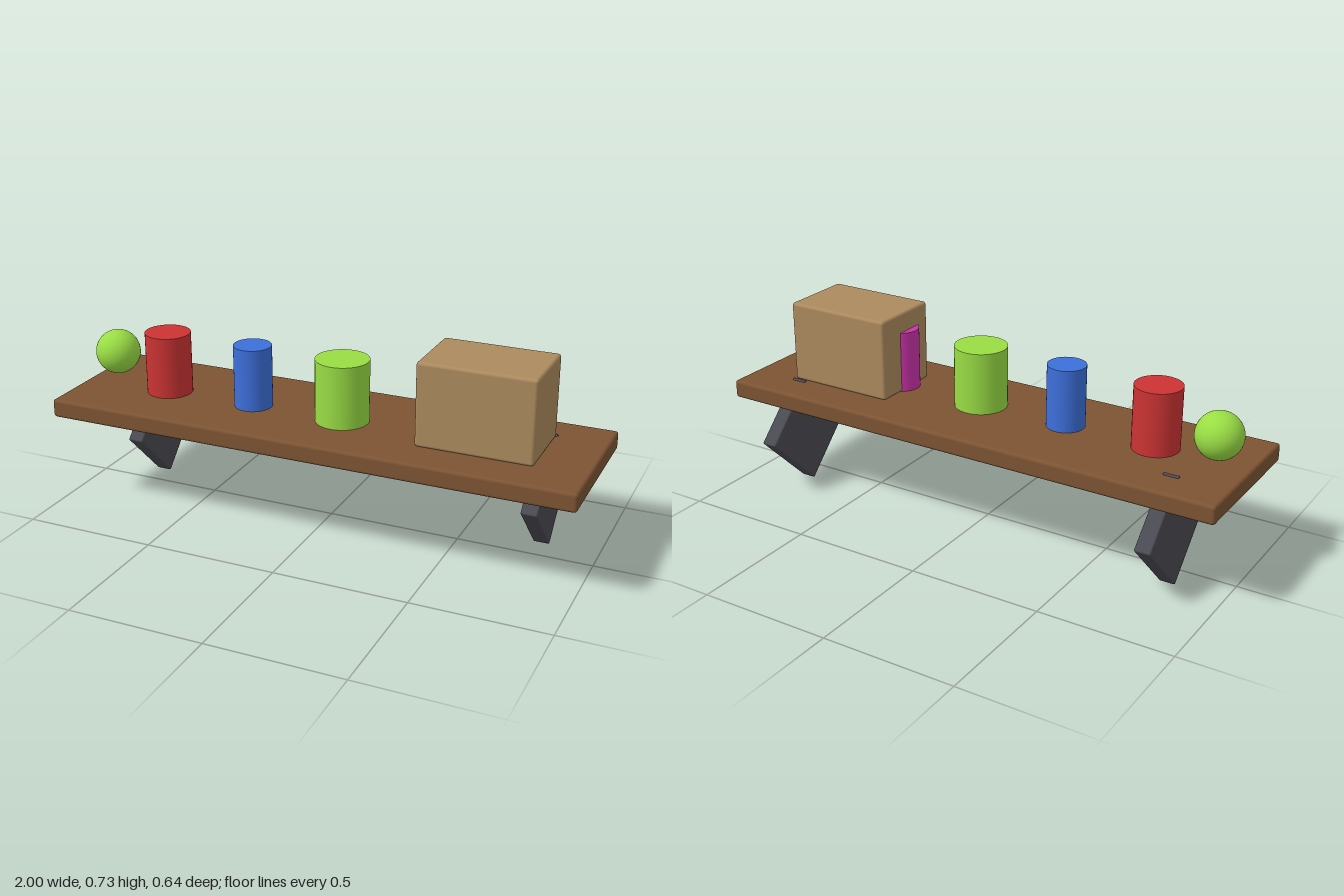
import * as THREE from 'three';
import { RoundedBoxGeometry } from 'three/addons/geometries/RoundedBoxGeometry.js';

const paint = (name, color) => {
  const m = new THREE.MeshStandardMaterial({ color });
  m.name = name;
  return m;
};

export function createModel() {
  const group = new THREE.Group();
  const wood = paint('wood', 0x7d5433);
  const cardboard = paint('cardboard', 0xac8a5e);
  const metal = paint('dark metal', 0x4a4a52);
  const red = paint('red', 0xcc3333);
  const blue = paint('blue', 0x3d6fdb);
  const green = paint('green', 0x99dd44);
  const pink = paint('pink', 0xcc33aa);

  const add = (name, geometry, material, x, y, z) => {
    const mesh = new THREE.Mesh(geometry, material);
    mesh.name = name;
    mesh.position.set(x, y, z);
    group.add(mesh);
    return mesh;
  };

  // Plank
  const top = 0.416;
  add('shelfBoard', new RoundedBoxGeometry(2, 0.07, 0.57, 3, 0.012), wood, 0, top - 0.035, 0.034);

  // Tilted square brackets, whose top corners pass just through the plank
  for (const [name, x] of [['rightBracket', -0.786], ['leftBracket', 0.786]]) {
    const bracket = add(name, new RoundedBoxGeometry(0.06, 0.288, 0.316, 2, 0.006), metal, x, 0.211, -0.109);
    bracket.rotation.x = Math.PI / 4;
  }

  // Storage box
  add('storageBox', new RoundedBoxGeometry(0.425, 0.31, 0.285, 3, 0.012), cardboard, 0.599, top + 0.154, 0.033);

  // Row of jars; the last one is partly inside the box
  const height = 0.234;
  const jars = [
    ['redJar', -0.645, 0.086, red],
    ['blueJar', -0.29, 0.071, blue],
    ['greenJar', 0.067, 0.099, green],
    ['pinkJar', 0.422, 0.067, pink],
  ];
  for (const [name, x, radius, material] of jars) {
    add(name, new THREE.CylinderGeometry(radius, radius, height, 40), material, x, top + height / 2, 0.056);
  }

  // Ball at the end of the shelf
  add('ball', new THREE.SphereGeometry(0.085, 40, 24), green, -0.886, 0.53, 0.028);

  return group;
}
